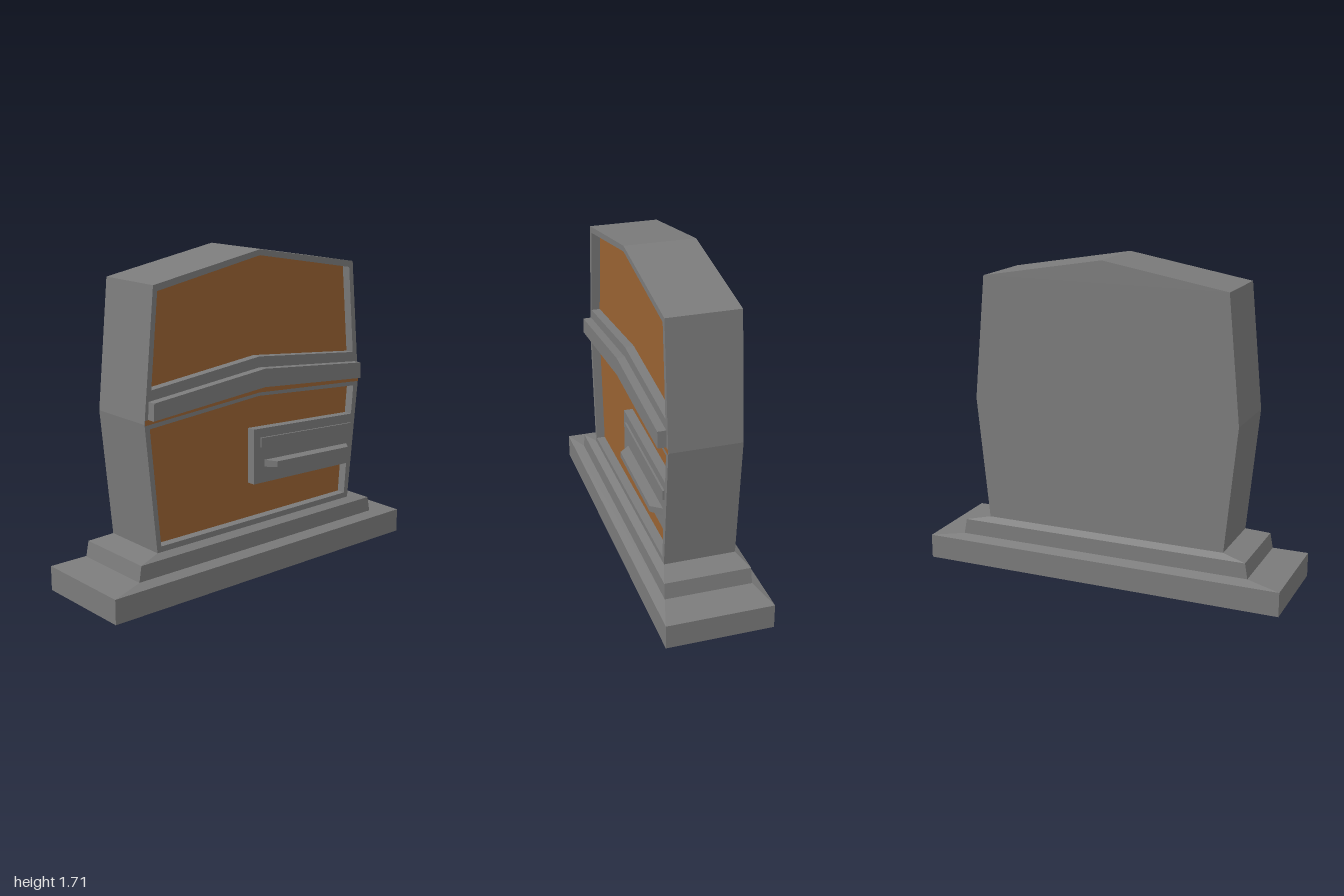
import * as THREE from 'three';

const grey = new THREE.MeshStandardMaterial({ color: 0x7b7b7b, flatShading: true });
const wood = new THREE.MeshStandardMaterial({ color: 0x9a6332, flatShading: true });

const toPath = (points, Type = THREE.Shape) => new Type(points.map(([x, y]) => new THREE.Vector2(x, y)));

// completes a right-hand half outline with its mirror image
const mirror = (half) => [...half, ...half.filter(([x]) => x !== 0).reverse().map(([x, y]) => [-x, y])];

function add(group, name, geometry, material = grey) {
  const mesh = new THREE.Mesh(geometry, material);
  mesh.name = name;
  group.add(mesh);
}

// prism with the given outline between two depths
function slab(points, z0, z1, holes = []) {
  const shape = toPath(points);
  shape.holes = holes.map((h) => toPath(h, THREE.Path));
  return new THREE.ExtrudeGeometry(shape, { depth: z1 - z0, bevelEnabled: false }).translate(0, 0, z0);
}

// rectangular block whose half sizes change from bottom to top
function taperedBlock(y0, [x0, z0], y1, [x1, z1]) {
  const geometry = new THREE.BoxGeometry(2, 2, 2);
  const p = geometry.attributes.position;
  for (let i = 0; i < p.count; i++) {
    const top = p.getY(i) > 0;
    p.setXYZ(i, p.getX(i) * (top ? x1 : x0), top ? y1 : y0, p.getZ(i) * (top ? z1 : z0));
  }
  geometry.computeVertexNormals();
  return geometry;
}

// slanted bar with bevelled ends, standing on the plane z
function handleBar(z) {
  const geometry = new THREE.BoxGeometry(2, 2, 2);
  const p = geometry.attributes.position;
  for (let i = 0; i < p.count; i++) {
    const outer = p.getZ(i) > 0;
    const x = 0.348 + p.getX(i) * (outer ? 0.265 : 0.308);
    p.setXYZ(i, x, 0.583 - 0.04 * x + p.getY(i) * (outer ? 0.016 : 0.019), outer ? z + 0.055 : z);
  }
  geometry.computeVertexNormals();
  return geometry;
}

export function createModel() {
  const model = new THREE.Group();
  model.name = 'headstone';
  const front = 0.19;
  const recess = 0.14;

  // stepped plinth with sloping ledges
  const steps = [
    [0, [1, 0.283]], [0.131, [1, 0.283]], [0.152, [0.818, 0.231]],
    [0.235, [0.803, 0.229]], [0.257, [0.674, 0.19]],
  ];
  const names = ['plinth', 'plinthSlope', 'step', 'stepSlope'];
  names.forEach((name, i) => add(model, name, taperedBlock(...steps[i], ...steps[i + 1])));

  // slab body and its raised front frame
  const outline = mirror([[0.674, 0.257], [0.739, 0.928], [0.674, 1.596], [0, 1.712]]);
  const upper = [[-0.695, 1.092], [0, 1.162], [0.692, 1.092], [0.648, 1.566], [0, 1.682], [-0.65, 1.566]];
  const lower = [
    [-0.65, 0.287], [0.648, 0.287], [0.66, 0.459], [-0.035, 0.479], [-0.035, 0.778],
    [0.69, 0.741], [0.703, 0.901], [0, 0.954], [-0.708, 0.901],
  ];
  add(model, 'body', slab(outline, -0.19, recess));
  add(model, 'frontFrame', slab(outline, recess, front, [upper, lower]));

  // coloured panels at the bottom of the recesses
  [['upperPanel', upper], ['lowerPanel', lower]].forEach(([name, points]) => {
    add(model, name, new THREE.ShapeGeometry(toPath(points)).translate(0, 0, recess + 0.002), wood);
  });

  // bent cross bar with a coloured strip below it
  const bar = [[-0.717, 0.95], [0, 1.008], [0.713, 0.95], [0.708, 1.038], [0, 1.105], [-0.712, 1.038]];
  const strip = [[-0.737, 0.922], [0, 0.972], [0.737, 0.922], [0.737, 0.948], [0, 1.01], [-0.737, 0.948]];
  add(model, 'crossBar', slab(bar, front, 0.235));
  add(model, 'crossBarStrip', new THREE.ShapeGeometry(toPath(strip)).translate(0, 0, front + 0.002), wood);

  // thin slanted ledge and handle on the side plate
  add(model, 'ledge', slab([[0.01, 0.675], [0.68, 0.64], [0.68, 0.692], [0.01, 0.727]], front, 0.2));
  add(model, 'handle', handleBar(front));

  return model;
}
